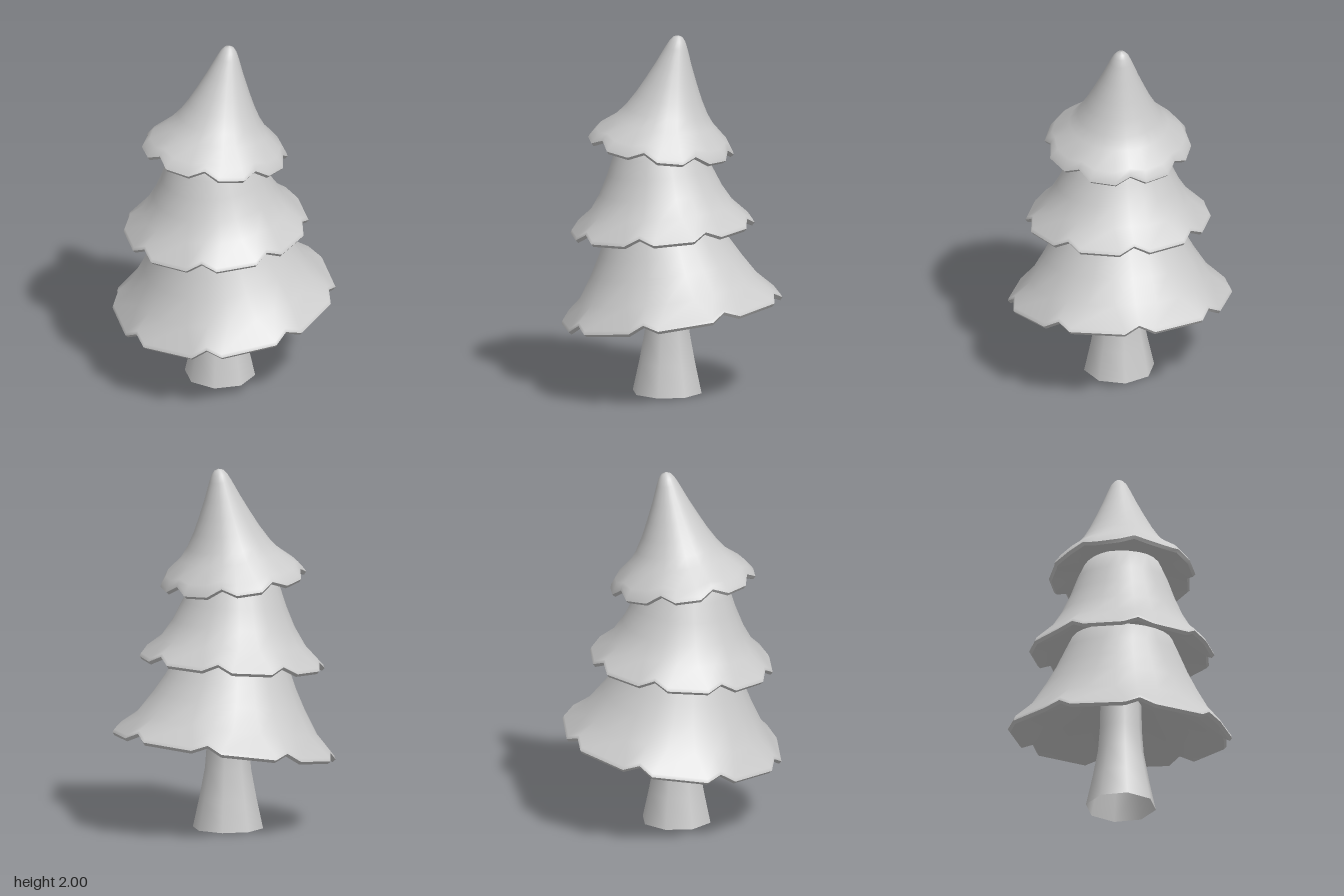
import * as THREE from 'three';
import { mergeGeometries } from 'three/addons/utils/BufferGeometryUtils.js';

const material = new THREE.MeshStandardMaterial({ color: 0xcccccc });
const LOBES = 8;
const STEP = (Math.PI * 2) / LOBES;

// Smooth strip through rings [radius, height, rimWeight]; the rim weight shapes the notches,
// and away from the rim the points spread evenly round the ring
function strip(rings, half, lean) {
  const pos = [], index = [], n = LOBES * 3;
  rings.forEach(([r, y, w = 0], i) => {
    const spread = THREE.MathUtils.lerp(STEP / 3, half, w);
    for (let j = 0; j < n; j++) {
      const side = (j % 3) - 1;
      const a = Math.floor(j / 3) * STEP + side * spread;
      const notch = side === 0 ? w : 0;
      const rr = r - 0.025 * notch;
      const yy = y + 0.038 * notch;
      pos.push(rr * Math.sin(a) + lean * y, yy, rr * Math.cos(a));
      if (i === rings.length - 1) continue;
      const p = i * n + j, q = i * n + (j + 1) % n;
      index.push(p, q, q + n, p, q + n, p + n);
    }
  });
  const g = new THREE.BufferGeometry();
  g.setAttribute('position', new THREE.Float32BufferAttribute(pos, 3));
  g.setIndex(index);
  g.computeVertexNormals();
  return g;
}

// One tilted skirt of foliage: shallow underside, thin undercut lip and outer cone
function tier({ name, R, x, y, tilt, lean, depth, profile }) {
  const half = Math.asin(0.085 / R);
  const bottom = [R - 0.014, 0, 1], edge = [R, 0.016, 1];
  const under = [[0, depth], [0.3 * R, depth * 0.85], [0.7 * R, depth * 0.47], bottom];
  const geometry = mergeGeometries([
    strip(under, half, lean),
    strip([bottom, edge], half, lean),
    strip([edge, [R - 0.008, 0.034, 1], ...profile], half, lean),
  ]);
  const mesh = new THREE.Mesh(geometry, material);
  mesh.name = name;
  mesh.position.set(x, y, 0);
  mesh.rotation.z = tilt;
  return mesh;
}

export function createModel() {
  const tree = new THREE.Group();
  tree.name = 'firTree';

  // Flared eight-sided trunk, open at the base
  const trunkProfile = [[0.195, 0], [0.158, 0.17], [0.128, 0.33], [0.118, 0.46], [0.113, 0.66]];
  const trunk = new THREE.Mesh(
    new THREE.LatheGeometry(trunkProfile.map(([r, y]) => new THREE.Vector2(r, y)), 8),
    new THREE.MeshStandardMaterial({ color: 0xcccccc, side: THREE.DoubleSide }),
  );
  trunk.name = 'trunk';
  trunk.position.x = -0.027;
  tree.add(trunk);

  // Three overlapping foliage tiers, each tilted its own way
  tree.add(
    tier({
      name: 'lowerFoliage', R: 0.616, x: 0.002, y: 0.44, tilt: 0.148, lean: 0.02, depth: 0.205,
      profile: [[0.5, 0.14, 0.2], [0.418, 0.27], [0.363, 0.37], [0.312, 0.48], [0.24, 0.63], [0, 0.7]],
    }),
    tier({
      name: 'middleFoliage', R: 0.508, x: -0.053, y: 0.9, tilt: 0.08, lean: 0.03, depth: 0.145,
      profile: [[0.4, 0.13, 0.2], [0.337, 0.23], [0.287, 0.34], [0.25, 0.44], [0.2, 0.55], [0, 0.6]],
    }),
    tier({
      name: 'topFoliage', R: 0.402, x: -0.065, y: 1.36, tilt: -0.117, lean: 0.04, depth: 0.09,
      profile: [[0.365, 0.075, 0.5], [0.272, 0.16], [0.227, 0.22], [0.182, 0.3], [0.142, 0.385],
        [0.1, 0.48], [0.061, 0.577], [0.043, 0.616], [0.025, 0.638], [0, 0.647]],
    }),
  );
  return tree;
}
